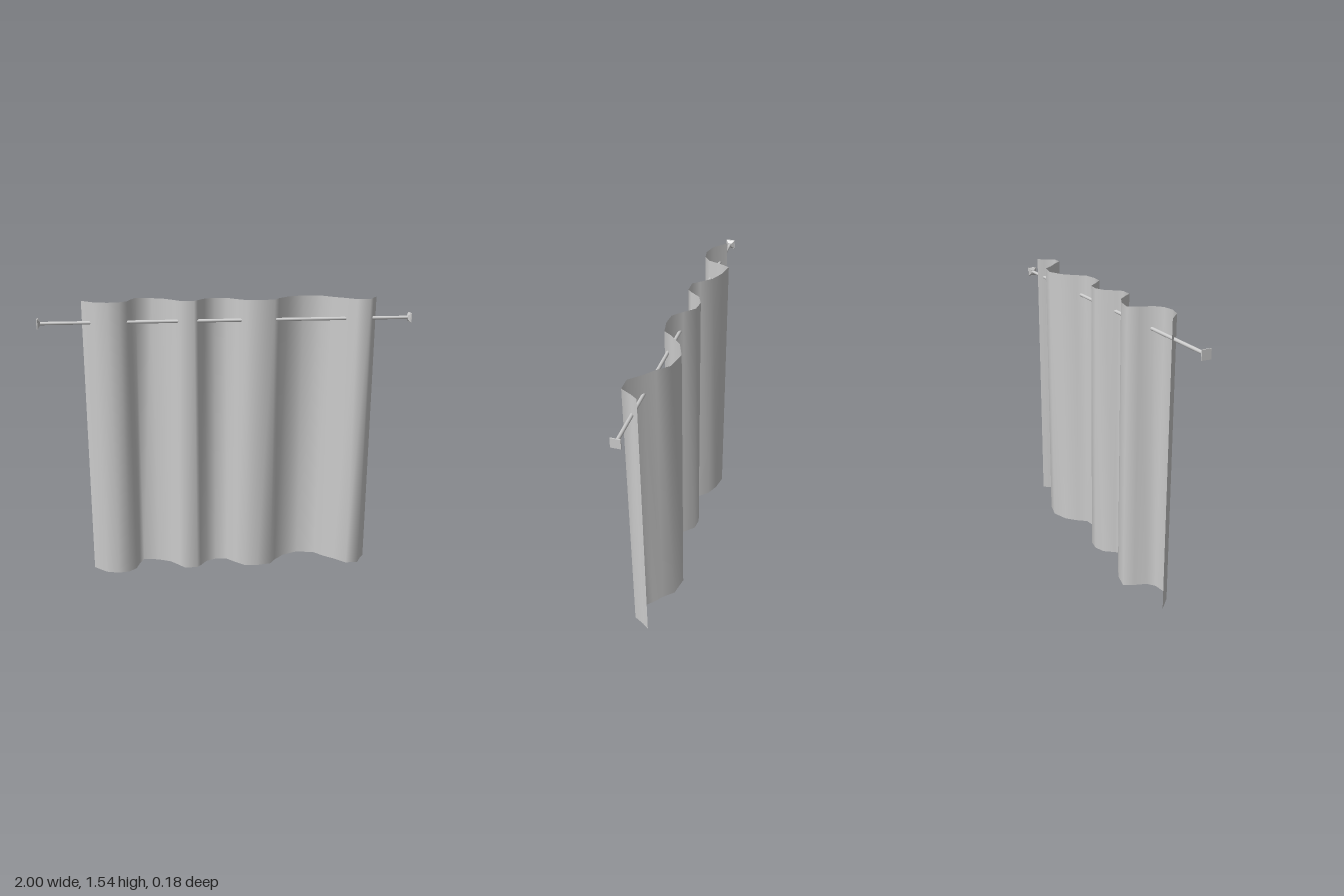
import * as THREE from 'three';

// Plan of the folds as [x, z]
const FOLDS = [
  [-0.77, -0.005], [-0.7, 0.06], [-0.63, 0.08], [-0.57, 0.07], [-0.53, 0.035], [-0.51, -0.03],
  [-0.485, -0.085], [-0.4, -0.068], [-0.33, -0.035], [-0.28, 0.02], [-0.25, 0.055], [-0.18, 0.055],
  [-0.16, 0.035], [-0.12, -0.02], [-0.065, -0.044], [0, -0.037], [0.05, 0.015], [0.1, 0.06],
  [0.17, 0.065], [0.25, 0.05], [0.28, 0.005], [0.34, -0.055], [0.43, -0.091], [0.53, -0.07],
  [0.58, -0.015], [0.63, 0.025], [0.69, 0.085], [0.76, 0.085], [0.79, 0.03], [0.815, -0.005],
];
const HEIGHT = 1.54, ROD_Y = 1.43, ROD_Z = 0.03;

export function createModel() {
  const group = new THREE.Group();
  const add = (name, geometry, options = {}) => {
    const mesh = new THREE.Mesh(geometry, new THREE.MeshStandardMaterial({ color: 0xcccccc, ...options }));
    mesh.name = name;
    group.add(mesh);
    return mesh;
  };

  // Curtain: a flat sheet whose columns follow the fold plan
  const sheet = new THREE.PlaneGeometry(1, HEIGHT, FOLDS.length - 1, 1);
  sheet.translate(0, HEIGHT / 2, 0);
  const pos = sheet.attributes.position;
  for (let i = 0; i < pos.count; i++) {
    const [x, z] = FOLDS[i % FOLDS.length];
    pos.setX(i, x);
    pos.setZ(i, z);
  }
  sheet.computeVertexNormals();
  add('curtain', sheet, { side: THREE.DoubleSide });

  // Rod running through the folds
  const rod = add('rod', new THREE.CylinderGeometry(0.009, 0.009, 1.98, 16));
  rod.rotation.z = Math.PI / 2;
  rod.position.set(0, ROD_Y, ROD_Z);

  // Square wall brackets: a thin plate with a tapered collar
  for (const side of [-1, 1]) {
    const name = side > 0 ? 'left' : 'right';
    const plate = add(name + 'BracketPlate', new THREE.BoxGeometry(0.006, 0.05, 0.05));
    plate.position.set(side * 0.997, ROD_Y, ROD_Z);

    const collar = new THREE.CylinderGeometry(0.014, 0.034, 0.011, 4);
    collar.rotateY(Math.PI / 4).rotateZ(side * Math.PI / 2);
    add(name + 'BracketCollar', collar, { flatShading: true }).position.set(side * 0.9885, ROD_Y, ROD_Z);
  }
  return group;
}
